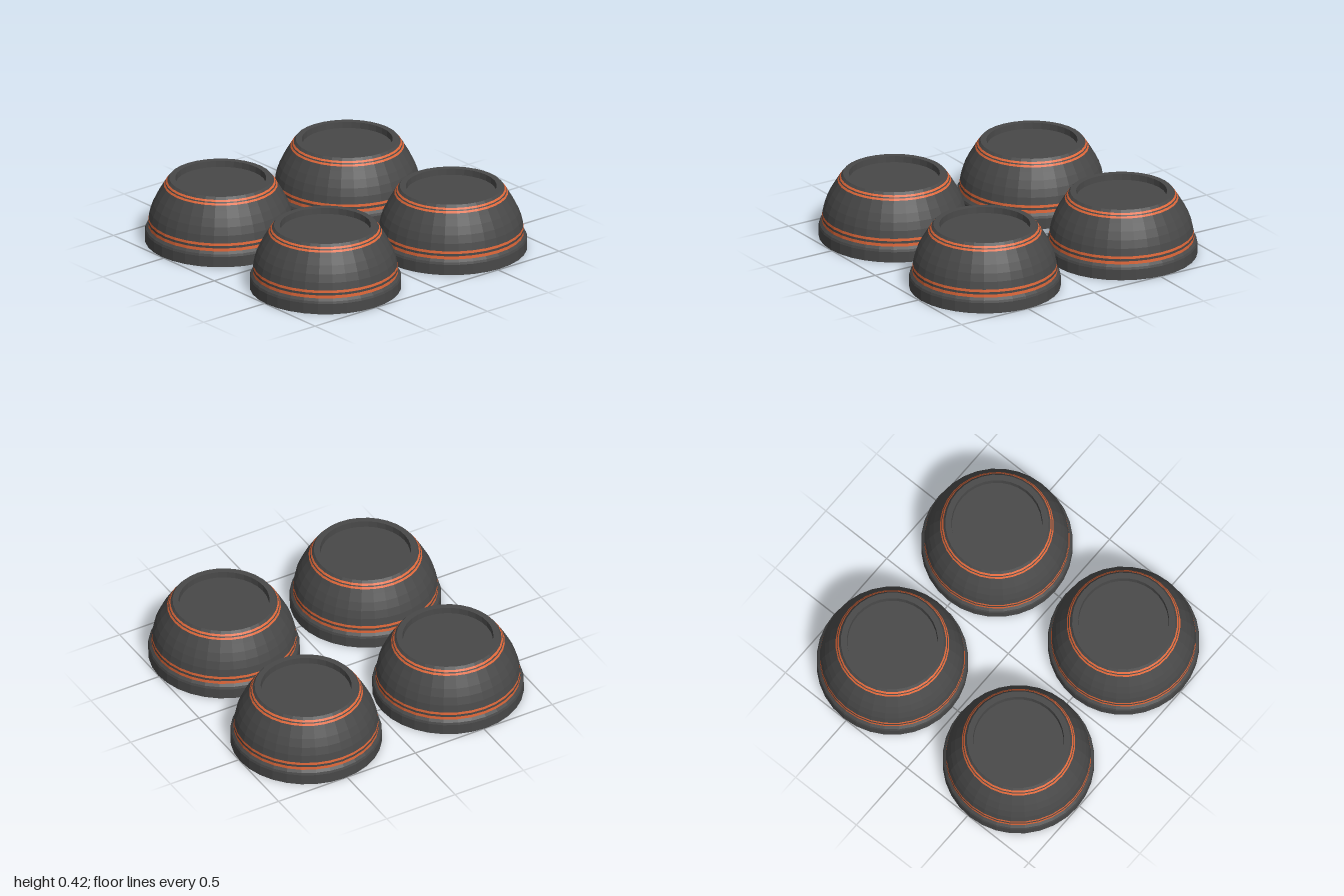
import * as THREE from 'three';

const SEGMENTS = 32;
const dark = new THREE.MeshStandardMaterial({ color: 0x484848, flatShading: true, side: THREE.DoubleSide });
const orange = new THREE.MeshStandardMaterial({ color: 0xe0683a, flatShading: true, side: THREE.DoubleSide });

// Thin shell bands from lip to foot, each a list of [radius, height]
const bands = [
  ['lip', dark, [[0.48, 0], [0.48, 0.07], [0.475, 0.085], [0.46, 0.1]]],
  ['lowerStripe', orange, [[0.46, 0.1], [0.459, 0.12]]],
  ['lowerGap', dark, [[0.459, 0.12], [0.458, 0.135]]],
  ['lowerStripe', orange, [[0.458, 0.135], [0.456, 0.152]]],
  ['wall', dark, [[0.456, 0.152], [0.446, 0.2], [0.428, 0.25], [0.403, 0.3], [0.376, 0.345], [0.36, 0.372]]],
  ['upperStripe', orange, [[0.36, 0.372], [0.352, 0.384]]],
  ['upperGap', dark, [[0.352, 0.384], [0.348, 0.391]]],
  ['upperStripe', orange, [[0.348, 0.391], [0.339, 0.402]]],
  ['foot', dark, [[0.339, 0.402], [0.326, 0.418], [0.288, 0.418], [0.285, 0.378]]],
];

function createBowl() {
  const bowl = new THREE.Group();
  bowl.name = 'bowl';
  for (const [name, material, profile] of bands) {
    const points = profile.map(([r, y]) => new THREE.Vector2(r, y));
    const mesh = new THREE.Mesh(new THREE.LatheGeometry(points, SEGMENTS), material);
    mesh.name = name;
    bowl.add(mesh);
  }

  // Recessed bottom disc inside the foot ring
  const base = new THREE.Mesh(new THREE.CircleGeometry(0.285, SEGMENTS), dark);
  base.name = 'base';
  base.rotation.x = -Math.PI / 2;
  base.position.y = 0.378;
  bowl.add(base);
  return bowl;
}

export function createModel() {
  const model = new THREE.Group();
  model.name = 'upturnedBowls';
  // Four bowls in a square
  for (const [x, z] of [[-0.52, -0.52], [0.512, -0.52], [-0.52, 0.517], [0.518, 0.517]]) {
    const bowl = createBowl();
    bowl.position.set(x, 0, z);
    model.add(bowl);
  }
  return model;
}
